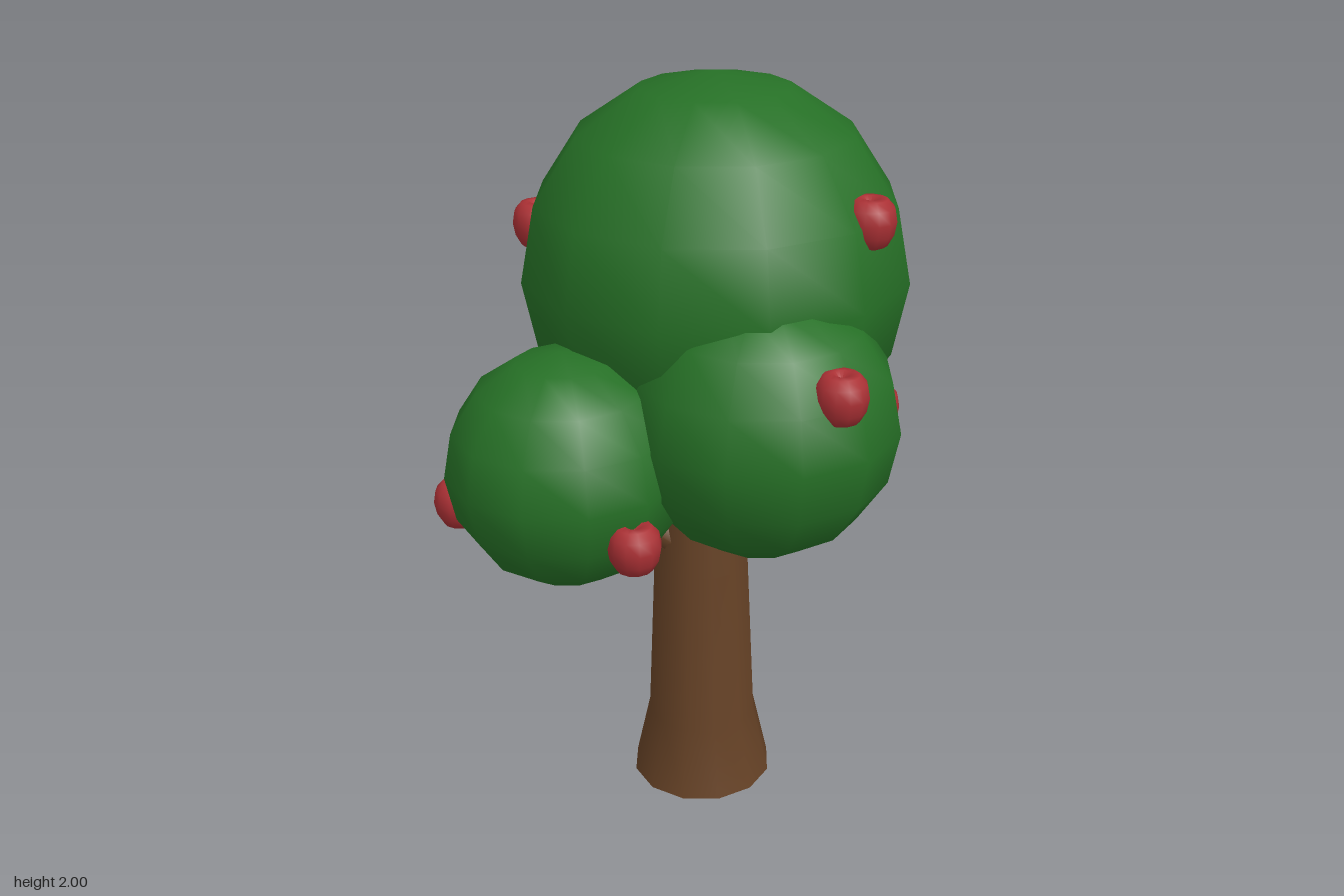
import * as THREE from 'three';

const mat = (name, color) => {
  const m = new THREE.MeshStandardMaterial({ color });
  m.name = name;
  return m;
};

export function createModel() {
  const tree = new THREE.Group();
  tree.name = 'appleTree';
  const leaf = mat('leaf green', 0x267026);
  const bark = mat('bark brown', 0x664226);
  const red = mat('apple red', 0xaa3034);

  const add = (name, geometry, material, position) => {
    const mesh = new THREE.Mesh(geometry, material);
    mesh.name = name;
    mesh.position.set(...position);
    tree.add(mesh);
    return mesh;
  };
  const lathe = (points, sides) =>
    new THREE.LatheGeometry(points.map(([r, y]) => new THREE.Vector2(r, y)), sides);

  // Trunk with flared foot, and its flat underside
  add('trunk', lathe([[0.197, 0], [0.153, 0.2], [0.132, 0.68], [0.108, 0.95], [0.09, 1.25]], 12), bark, [0, 0, -0.05]);
  add('trunkBase', new THREE.CircleGeometry(0.197, 12), bark, [0, 0, -0.05]).rotation.x = Math.PI / 2;

  // Side branch, tapering from the trunk outwards
  const from = new THREE.Vector3(-0.07, 0.76, -0.06);
  const to = new THREE.Vector3(-0.25, 0.91, -0.19);
  const along = to.clone().sub(from);
  const middle = from.clone().add(to).multiplyScalar(0.5);
  const branch = add('branch', new THREE.CylinderGeometry(0.025, 0.05, along.length(), 8), bark, middle.toArray());
  branch.quaternion.setFromUnitVectors(new THREE.Vector3(0, 1, 0), along.normalize());

  // Foliage clumps
  const clumps = [
    ['crown', 0.5, [0.06, 1.5, -0.055]],
    ['frontClump', 0.345, [-0.08, 1.215, 0.248]],
    ['rightClump', 0.3, [-0.45, 1.108, -0.06]],
    ['leftClump', 0.34, [0.402, 1.065, -0.217]],
    ['smallFrontClump', 0.15, [0.267, 1.03, 0.17]],
    ['smallBackRightClump', 0.15, [-0.225, 1.07, -0.315]],
    ['smallBackClump', 0.15, [0, 1.0, -0.385]],
  ];
  for (const [name, radius, position] of clumps) {
    add(name, new THREE.SphereGeometry(radius, 12, 8), leaf, position);
  }

  // Apples: round bodies dimpled at both ends
  const apple = lathe([
    [0, -0.045], [0.022, -0.062], [0.045, -0.052], [0.06, -0.025], [0.066, 0.008],
    [0.06, 0.04], [0.042, 0.06], [0.022, 0.062], [0, 0.042],
  ], 12);
  const spots = [
    [0.15, 1.69, 0.372], [-0.12, 1.37, 0.535], [-0.485, 1.0, 0.225], [0.56, 1.0, 0.087],
    [-0.592, 0.96, -0.322], [-0.183, 1.575, -0.468], [0.26, 1.36, -0.495],
    [0.49, 1.05, -0.54], [0.01, 0.97, -0.487],
  ];
  spots.forEach((position, i) => add('apple' + (i + 1), apple, red, position));

  return tree;
}
